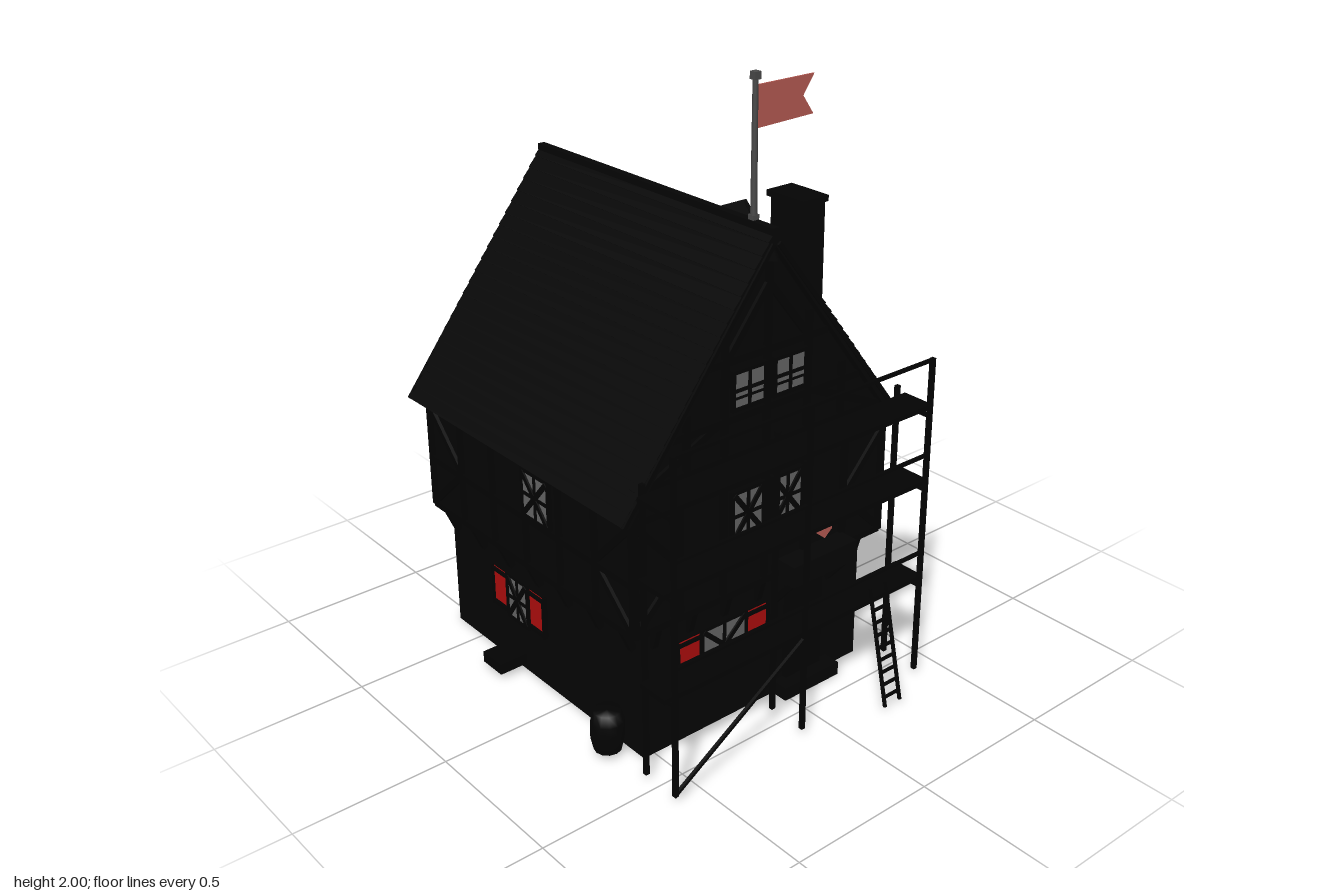
import * as THREE from 'three';

const mat = (name, color) => {
  const m = new THREE.MeshStandardMaterial({ color, side: THREE.DoubleSide });
  m.name = name;
  return m;
};
const V = (x, y, z) => new THREE.Vector3(x, y, z);
const UP = V(0, 1, 0);

export function createModel() {
  const root = new THREE.Group();
  root.name = 'timberHouse';
  const M = {
    wall: mat('darkWall', 0x040404), wood: mat('blackTimber', 0x030303),
    roof: mat('darkRoof', 0x050505),
    glass: mat('greyGlass', 0x666666), red: mat('redShutter', 0xb00e0e),
    cloth: mat('fadedRedCloth', 0xb85c54), metal: mat('greyMetal', 0x4a4a4a),
  };
  const group = (name, parent = root) => {
    const g = new THREE.Group();
    g.name = name;
    parent.add(g);
    return g;
  };
  const add = (name, geo, m, parent = root) => {
    const mesh = new THREE.Mesh(geo, m);
    mesh.name = name;
    parent.add(mesh);
    return mesh;
  };
  // box given by its limits
  const box = (name, x0, x1, y0, y1, z0, z1, m, parent) => {
    const b = add(name, new THREE.BoxGeometry(x1 - x0, y1 - y0, z1 - z0), m, parent);
    b.position.set((x0 + x1) / 2, (y0 + y1) / 2, (z0 + z1) / 2);
    return b;
  };
  // square bar between two points, in the parent's own frame
  const bar = (name, a, b, t, m, parent) => {
    const mesh = add(name, new THREE.BoxGeometry(t, t, a.distanceTo(b)), m, parent);
    mesh.position.copy(a).add(b).multiplyScalar(0.5);
    mesh.quaternion.setFromRotationMatrix(new THREE.Matrix4().lookAt(b, a, UP));
  };
  const poly = pts => new THREE.Shape(pts.map(p => new THREE.Vector2(...p)));
  const extrude = (shape, depth) => new THREE.ExtrudeGeometry(shape, { depth, bevelEnabled: false });

  // ground floor: a hollow ring of walls, open below
  const ring = poly([[-0.54, -0.37], [0.34, -0.37], [0.34, 0.64], [-0.54, 0.64]]);
  ring.holes.push(poly([[-0.52, -0.35], [-0.52, 0.62], [0.32, 0.62], [0.32, -0.35]]));
  add('groundFloorWalls', extrude(ring, 0.46), M.wall).rotation.x = -Math.PI / 2;

  // overhanging upper floor and attic gable
  box('upperFloor', -0.59, 0.39, 0.45, 0.9, -0.65, 0.4, M.wall);
  const gable = poly([[-0.59, 0.9], [0.39, 0.9], [-0.1, 1.54]]);
  add('atticGable', extrude(gable, 1.05), M.wall).position.z = -0.65;

  // finely stepped shingle roof
  const roof = group('roof');
  for (const s of [-1, 1]) {
    const pts = [], rows = 22;
    for (let i = 0; i < rows; i++) {
      for (const [t, o] of [[i / rows, -0.002], [(i + 1) / rows, 0.002]]) {
        pts.push([-0.1 + s * (0.55 * t + 0.8 * o), 1.58 - 0.73 * t + 0.6 * o]);
      }
    }
    pts.push([-0.1 + s * 0.525, 0.835], [-0.1, 1.535]);
    add('roofSlope', extrude(poly(pts), 1.11), M.roof, roof).position.z = -0.68;
    for (const z of [0.43, -0.677]) {
      bar('bargeBoard', V(-0.1 + s * 0.01, 1.54, z), V(-0.1 + s * 0.545, 0.845, z), 0.014, M.wood, roof);
    }
  }
  box('ridgeCap', -0.112, -0.088, 1.56, 1.585, -0.68, 0.43, M.roof, roof);
  const finial = add('gableFinial', new THREE.ConeGeometry(0.05, 0.09, 4), M.wood, roof);
  finial.position.set(-0.1, 1.535, 0.39);

  // timber framing, drawn on a facade whose local +z points outwards
  const facade = (name, x, z, ry, w, isGable) => {
    const g = group(name);
    g.position.set(x, 0, z);
    g.rotation.y = ry;
    const h = w / 2, t = 0.022;
    const line = (x0, y0, x1, y1) => bar('beam', V(x0, y0, 0), V(x1, y1, 0), t, M.wood, g);
    for (const y of [0.465, 0.63, 0.83]) line(-h, y, h, y);
    const n = 6;
    for (let i = 0; i <= n; i++) line(-h + w * i / n, 0.46, -h + w * i / n, 0.88);
    for (const s of [-1, 1]) {
      line(s * h, 0.47, s * h * 0.67, 0.63);
      line(s * h, 0.82, s * h * 0.67, 0.64);
    }
    if (!isGable) return;
    line(-h, 0.92, h, 0.92);
    line(-0.37, 1.04, 0.37, 1.04);
    line(-0.23, 1.22, 0.23, 1.22);
    line(0, 0.9, 0, 1.52);
    for (const s of [-1, 1]) {
      line(s * 0.16, 0.92, s * 0.16, 1.3);
      line(s * 0.3, 0.92, s * 0.3, 1.1);
      line(s * 0.44, 0.92, s * 0.18, 1.04);
      line(0, 1.42, s * 0.15, 1.23);
    }
  };
  facade('frontFraming', -0.1, 0.4, 0, 0.98, true);
  facade('backFraming', -0.1, -0.65, Math.PI, 0.98, true);
  facade('leftFraming', 0.39, -0.125, Math.PI / 2, 1.05, false);
  facade('rightFraming', -0.59, -0.125, -Math.PI / 2, 1.05, false);

  // windows: glass plate, frame, bars, optional lead cross and shutters of a given width
  const win = (x, y, z, ry, w, h, o = {}) => {
    const g = group('window');
    g.position.set(x, y, z);
    g.rotation.y = ry;
    const a = w / 2, b = h / 2;
    box('glass', -a, a, -b, b, 0.01, 0.016, M.glass, g);
    if (o.inner) box('innerGlass', -a, a, -b, b, -0.026, -0.021, M.glass, g);
    const line = (p, q, t, zz = 0.014) => bar('windowBar', V(...p, zz), V(...q, zz), t, M.wood, g);
    for (const zz of o.inner ? [0.014, -0.026] : [0.014]) {
      for (const s of [-1, 1]) {
        line([-a - 0.01, s * (b + 0.005)], [a + 0.01, s * (b + 0.005)], 0.012, zz);
        line([s * (a + 0.005), -b], [s * (a + 0.005), b], 0.012, zz);
      }
      line([0, -b], [0, b], 0.011, zz);
      line([-a, 0], [a, 0], 0.011, zz);
    }
    if (o.cross) for (const s of [-1, 1]) line([-a, -s * b], [a, s * b], 0.016);
    if (o.rows) line([-a, -b * 0.45], [a, -b * 0.45], 0.008);
    if (o.shutter) for (const s of [-1, 1]) {
      const i = a + 0.01, e = i + o.shutter, [x0, x1] = s > 0 ? [i, e] : [-e, -i];
      box('shutter', x0, x1, -b, b, 0.002, 0.011, M.red, g);
      for (const k of [-1, 1]) {
        box('shutterBand', x0, x1, k * b * 0.84 - 0.005, k * b * 0.84 + 0.005, 0.002, 0.02, M.wood, g);
        box('shutterEdge', x0, x1, k * (b + 0.002) - 0.002, k * (b + 0.002) + 0.002, 0.002, 0.014, M.wood, g);
      }
      box('shutterSide', s * e - 0.003, s * e + 0.003, -b, b, 0.002, 0.02, M.wood, g);
    }
  };
  for (const [z, ry] of [[0.4, 0], [-0.65, Math.PI]]) {
    for (const x of [-0.177, -0.02]) {
      win(x, 0.727, z, ry, 0.11, 0.145, { cross: true });
      win(x, 1.128, z, ry, 0.11, 0.105, { rows: true });
    }
  }
  win(0.39, 0.727, 0.135, Math.PI / 2, 0.125, 0.145, { cross: true });
  win(-0.59, 0.727, -0.05, -Math.PI / 2, 0.125, 0.145, { cross: true });
  win(-0.24, 0.282, 0.37, 0, 0.165, 0.155, { inner: true, cross: true, shutter: 0.085 });
  win(0.225, 0.265, -0.64, Math.PI, 0.07, 0.145, { cross: true, shutter: 0.065 });
  win(-0.54, 0.26, -0.25, -Math.PI / 2, 0.1, 0.145, { inner: true, cross: true, shutter: 0.08 });

  // jetty brackets
  for (let i = 0; i < 7; i++) {
    const x = -0.5 + i * 0.135, z = -0.6 + i * 0.155;
    bar('jettyBracket', V(x, 0.38, 0.37), V(x, 0.45, 0.39), 0.022, M.wood);
    bar('jettyBracket', V(x, 0.38, -0.635), V(x, 0.45, -0.645), 0.022, M.wood);
    bar('jettyBracket', V(-0.545, 0.37, z), V(-0.58, 0.45, z), 0.022, M.wood);
    bar('jettyBracket', V(0.345, 0.37, z), V(0.38, 0.45, z), 0.022, M.wood);
  }

  // door with step, canopy and shield sign on the wall
  const porch = group('porch');
  box('door', 0.02, 0.17, 0.04, 0.38, 0.37, 0.385, M.wood, porch);
  box('doorStep', -0.02, 0.21, 0, 0.045, 0.36, 0.43, M.wall, porch);
  box('canopy', -0.04, 0.225, 0.44, 0.51, 0.38, 0.475, M.roof, porch);
  for (const x of [-0.02, 0.205]) bar('canopyBrace', V(x, 0.34, 0.37), V(x, 0.44, 0.455), 0.018, M.wood, porch);
  const shield = poly([[-0.03, 0.035], [0.03, 0.035], [0.03, -0.012], [0, -0.037], [-0.03, -0.012]]);
  add('shieldSign', extrude(shield, 0.008), M.cloth, porch).position.set(0.137, 0.563, 0.415);

  // chimney
  const chimney = group('chimney');
  box('chimneyBase', 0.33, 0.478, 0, 0.62, -0.14, 0.06, M.wall, chimney);
  box('chimneyShaft', 0.385, 0.478, 0.6, 1.45, -0.115, 0.035, M.wall, chimney);
  box('chimneyCap', 0.375, 0.485, 1.445, 1.465, -0.126, 0.043, M.wall, chimney);

  // dormer: pointed body and a little gable roof running back into the slope
  const dormer = group('dormer');
  const face = poly([[-0.085, 1.15], [0.085, 1.15], [0.085, 1.37], [0, 1.46], [-0.085, 1.37]]);
  const body = add('dormerBody', extrude(face, 0.195), M.wall, dormer);
  body.rotation.y = Math.PI / 2;
  body.position.set(0.01, 0, -0.06);
  const P = [-0.025, 1.48, -0.06, 0.23, 1.48, -0.06];
  for (const s of [-1, 1]) {
    const z = -0.06 + s * 0.125, geo = new THREE.BufferGeometry();
    geo.setAttribute('position', new THREE.Float32BufferAttribute([...P, 0.23, 1.35, z, 0.075, 1.35, z], 3));
    geo.setIndex(s > 0 ? [0, 3, 2, 0, 2, 1] : [0, 2, 3, 0, 1, 2]);
    geo.computeVertexNormals();
    add('dormerRoof', geo, M.roof, dormer);
    bar('dormerBargeBoard', V(0.222, 1.47, -0.06), V(0.222, 1.357, z), 0.014, M.wood, dormer);
    const c = -0.06 + s * 0.026;
    box('dormerGlass', 0.203, 0.209, 1.215, 1.315, c - 0.015, c + 0.015, M.glass, dormer);
  }

  // lean-to woodshed: posts, back boarding and a low log pile
  const shed = group('woodshed');
  const slope = poly([[0.34, 0.46], [0.655, 0.35], [0.65, 0.33], [0.34, 0.435]]);
  add('shedRoof', extrude(slope, 0.53), M.roof, shed).position.z = -0.64;
  for (const z of [-0.14, -0.37, -0.61]) {
    box('shedPost', 0.585, 0.61, 0.02, 0.355, z - 0.013, z + 0.013, M.wood, shed);
    box('shedPostFoot', 0.575, 0.617, 0.015, 0.045, z - 0.022, z + 0.022, M.wall, shed);
    bar('shedRafter', V(0.34, 0.43, z), V(0.63, 0.335, z), 0.02, M.wood, shed);
  }
  box('shedBeam', 0.585, 0.61, 0.325, 0.35, -0.63, -0.12, M.wood, shed);
  box('shedBackBoards', 0.34, 0.605, 0.03, 0.36, -0.62, -0.605, M.wall, shed);
  for (let r = 0; r < 2; r++) for (let i = 0; i < 5 - r; i++) {
    const log = add('log', new THREE.CylinderGeometry(0.027, 0.027, 0.16, 8), M.wood, shed);
    log.rotation.z = Math.PI / 2;
    log.position.set(0.44, 0.03 + r * 0.046, -0.56 + i * 0.055 + r * 0.027);
  }

  // scaffold along the front, with a ladder
  const scaffold = group('scaffold');
  for (const x of [-0.595, -0.097, 0.4]) {
    box('outerPost', x - 0.007, x + 0.007, 0.02, 1.11, 0.578, 0.592, M.wood, scaffold);
    box('innerPost', x - 0.007, x + 0.007, 0.02, 0.975, 0.444, 0.458, M.wood, scaffold);
    for (const y of [0.34, 0.68, 0.93]) box('crossTie', x - 0.006, x + 0.006, y - 0.015, y - 0.003, 0.445, 0.59, M.wood, scaffold);
  }
  for (const y of [0.34, 0.68, 0.935]) box('platform', -0.62, 0.425, y - 0.004, y + 0.012, 0.46, 0.57, M.wood, scaffold);
  for (const y of [0.45, 0.79, 1.105]) bar('guardRail', V(-0.6, y, 0.585), V(0.405, y, 0.585), 0.01, M.wood, scaffold);
  bar('diagonalBrace', V(-0.6, 0.02, 0.585), V(-0.1, 0.34, 0.585), 0.01, M.wood, scaffold);
  const ladder = group('ladder');
  for (const x of [0.17, 0.235]) bar('ladderRail', V(x, 0.025, 0.678), V(x, 0.41, 0.592), 0.009, M.wood, ladder);
  for (let i = 0; i < 9; i++) {
    const t = 0.08 + i * 0.105, y = 0.025 + 0.385 * t, z = 0.678 - 0.086 * t;
    bar('rung', V(0.17, y, z), V(0.235, y, z), 0.008, M.wood, ladder);
  }

  // barrel and bench by the side wall
  const staves = [[0, 0], [0.043, 0], [0.052, 0.04], [0.053, 0.07], [0.052, 0.1], [0.043, 0.135], [0, 0.135]];
  const barrel = add('barrel', new THREE.LatheGeometry(staves.map(p => new THREE.Vector2(...p)), 12), M.wood);
  barrel.position.set(-0.606, 0.022, 0.28);
  box('sideBench', -0.64, -0.54, 0.022, 0.06, -0.34, -0.24, M.wood);

  // flagpole and swallow-tailed flag
  const flag = group('flag');
  const pole = add('pole', new THREE.CylinderGeometry(0.008, 0.01, 0.42, 8), M.metal, flag);
  pole.position.set(-0.097, 1.78, 0.335);
  box('poleFoot', -0.108, -0.086, 1.575, 1.6, 0.324, 0.346, M.metal, flag);
  box('poleCap', -0.108, -0.086, 1.978, 2, 0.324, 0.346, M.metal, flag);
  const cloth = poly([[-0.092, 1.842], [0.12, 1.848], [0.08, 1.905], [0.12, 1.962], [-0.092, 1.962]]);
  add('flagCloth', extrude(cloth, 0.005), M.cloth, flag).position.z = 0.332;
  return root;
}
